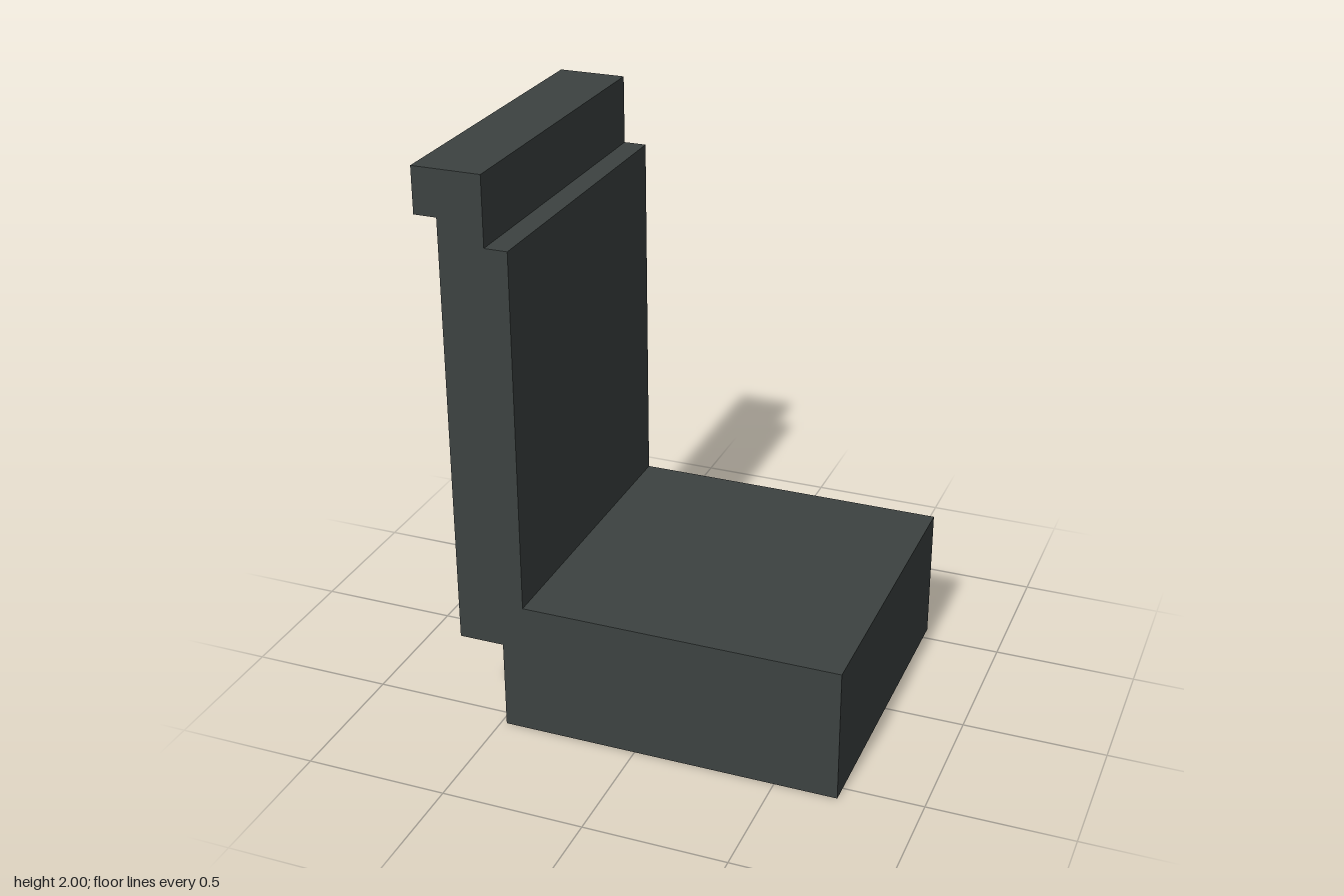
import * as THREE from 'three';

const WIDTH = 1.12;

export function createModel() {
  const model = new THREE.Group();
  model.name = 'seat';

  const charcoal = new THREE.MeshStandardMaterial({ color: 0x3c4241 });
  charcoal.name = 'charcoal';

  // Stepped side profile: cushion block, backrest slab and overhanging headrest
  const profile = [
    [-0.48, 0], [0.72, 0], [0.72, 0.48], [-0.4, 0.48],       // cushion
    [-0.4, 1.76], [-0.48, 1.76],                             // backrest front
    [-0.48, 2], [-0.72, 2], [-0.72, 1.84], [-0.64, 1.84],    // headrest
    [-0.64, 0.32], [-0.48, 0.32],                            // backrest rear
  ];
  const shape = new THREE.Shape(profile.map(([x, y]) => new THREE.Vector2(x, y)));

  // One solid swept across the full width
  const geometry = new THREE.ExtrudeGeometry(shape, { depth: WIDTH, bevelEnabled: false });
  geometry.translate(0, 0, -WIDTH / 2);

  const body = new THREE.Mesh(geometry, charcoal);
  body.name = 'cushionAndBackrest';
  model.add(body);
  return model;
}
